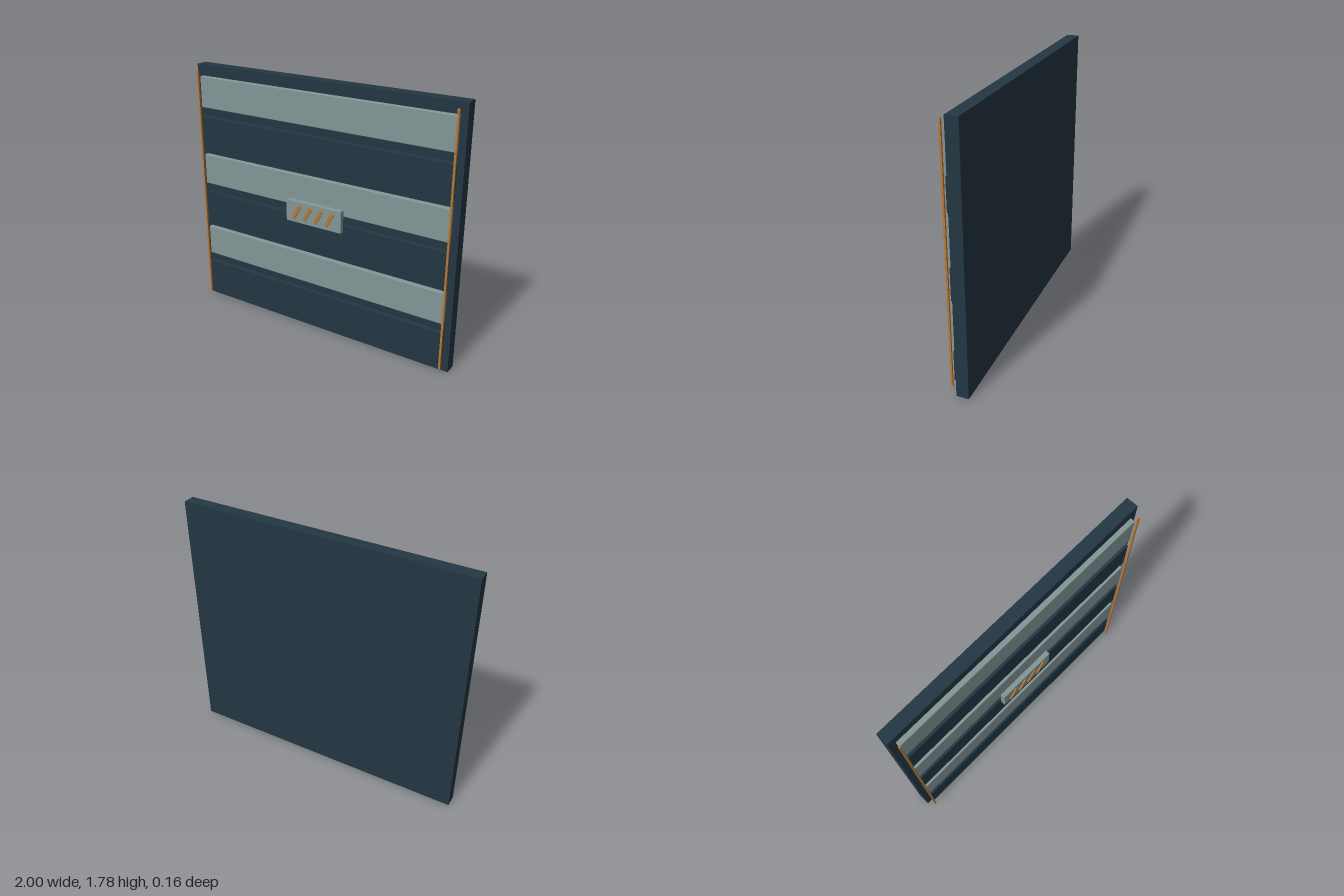
import * as THREE from 'three';
import { RoundedBoxGeometry } from 'three/addons/geometries/RoundedBoxGeometry.js';

const material = (name, color) => {
  const m = new THREE.MeshStandardMaterial({ color });
  m.name = name;
  return m;
};

export function createModel() {
  const navy = material('dark slate', 0x243743);
  const sage = material('grey green', 0x839696);
  const copper = material('copper', 0xb87a36);
  const group = new THREE.Group();
  group.name = 'slattedWallPanel';

  const add = (name, geometry, mat, x, y, z) => {
    const mesh = new THREE.Mesh(geometry, mat);
    mesh.name = name;
    mesh.position.set(x, y, z);
    group.add(mesh);
    return mesh;
  };

  // Backing board
  add('backBoard', new THREE.BoxGeometry(2, 1.785, 0.083), navy, 0, 0.8925, -0.0375);

  // Horizontal slats, alternating dark and light from the bottom
  const slat = new RoundedBoxGeometry(1.91, 0.22, 0.034, 2, 0.005);
  for (let i = 0; i < 6; i++) {
    add(i % 2 ? 'lightSlat' : 'darkSlat', slat, i % 2 ? sage : navy, 0, 0.187 + i * 0.2825, 0.02);
  }

  // Slim upright trims near both edges
  const trim = new THREE.BoxGeometry(0.013, 1.72, 0.013);
  for (const side of [-1, 1]) {
    add(side > 0 ? 'leftTrim' : 'rightTrim', trim, copper, side * 0.96, 0.8925, 0.05);
  }

  // Central plaque with four slanted bars
  add('plaque', new RoundedBoxGeometry(0.432, 0.156, 0.034, 2, 0.003), sage, 0, 0.8925, 0.053);
  const bar = new THREE.BoxGeometry(0.024, 0.112, 0.009);
  for (let i = 0; i < 4; i++) {
    add('slantedBar', bar, copper, (i - 1.5) * 0.086, 0.8925, 0.0745).rotation.z = -0.53;
  }
  return group;
}
